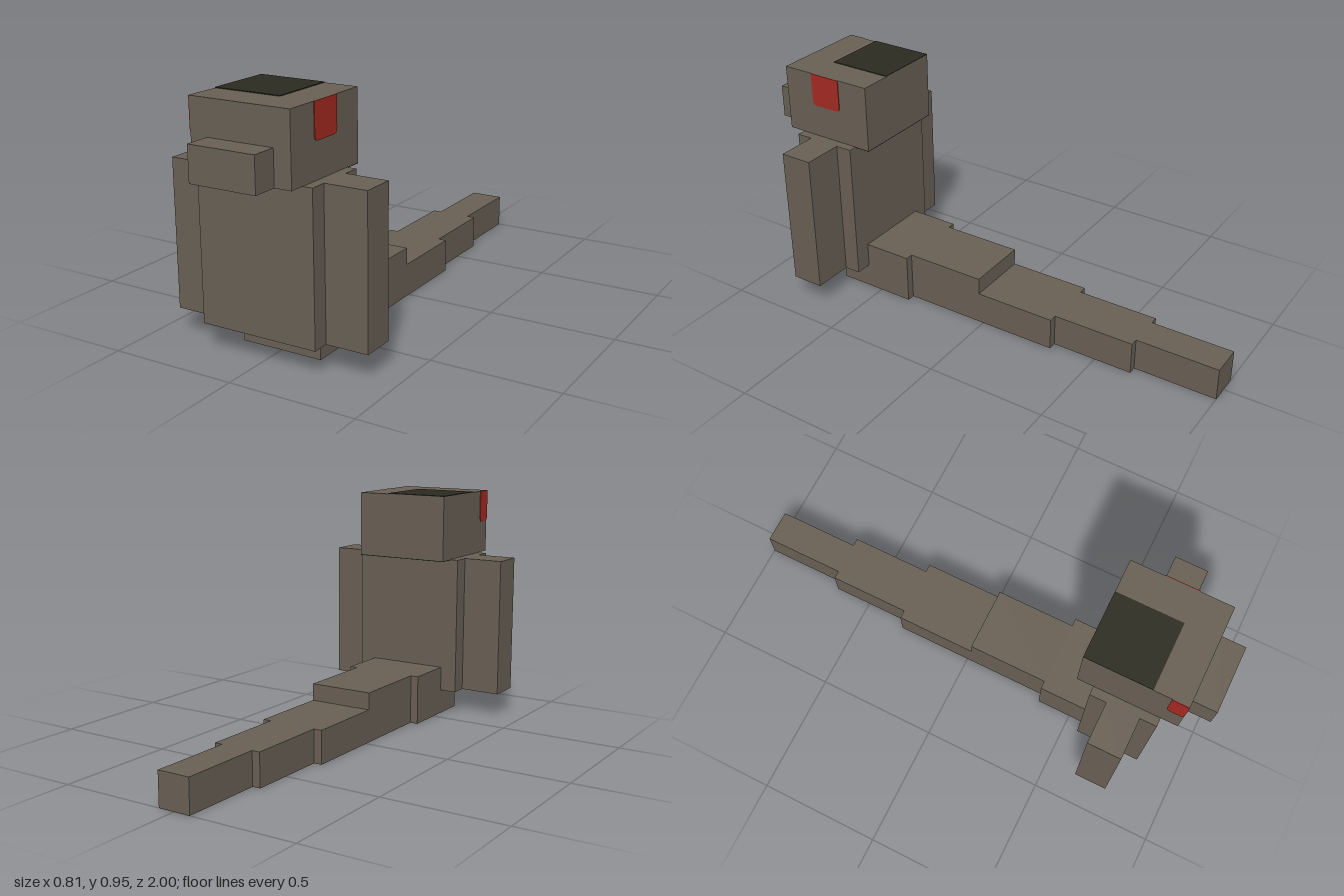
import * as THREE from 'three';

export function createModel() {
  const model = new THREE.Group();
  const stone = new THREE.MeshStandardMaterial({ name: 'stone brown', color: 0x696054 });
  const dark = new THREE.MeshStandardMaterial({ name: 'dark olive', color: 0x2c2b20 });
  const red = new THREE.MeshStandardMaterial({ name: 'red', color: 0xa52a22 });

  // Box given by its lower and upper corners
  function box(name, [x0, y0, z0], [x1, y1, z1], material = stone) {
    const mesh = new THREE.Mesh(new THREE.BoxGeometry(x1 - x0, y1 - y0, z1 - z0), material);
    mesh.position.set((x0 + x1) / 2, (y0 + y1) / 2, (z0 + z1) / 2);
    mesh.name = name;
    model.add(mesh);
    return mesh;
  }

  // Thin eye plate with rounded lower corners, hanging from the head's top edge
  function eye(name, side, zMid, width) {
    const w = width / 2, h = 0.135, r = 0.02;
    const shape = new THREE.Shape();
    shape.moveTo(-w, 0);
    shape.lineTo(-w, -h + r);
    shape.quadraticCurveTo(-w, -h, -w + r, -h);
    shape.lineTo(w - r, -h);
    shape.quadraticCurveTo(w, -h, w, -h + r);
    shape.lineTo(w, 0);
    const geometry = new THREE.ExtrudeGeometry(shape, { depth: 0.003, bevelEnabled: false, curveSegments: 4 });
    const mesh = new THREE.Mesh(geometry, red);
    mesh.rotation.y = side * Math.PI / 2;
    mesh.position.set(side * 0.203, 0.95, zMid);
    mesh.name = name;
    model.add(mesh);
  }

  // Head and snout
  box('head', [-0.203, 0.68, 0.495], [0.203, 0.95, 0.899]);
  box('snout', [-0.135, 0.68, 0.899], [0.135, 0.815, 1]);
  box('crownPatch', [-0.203, 0.95, 0.495], [0.068, 0.953, 0.762], dark);
  box('headUndersidePatch', [-0.203, 0.677, 0.495], [0.203, 0.68, 0.56], dark);
  eye('leftEye', 1, 0.698, 0.135);
  eye('rightEye', -1, 0.866, 0.066);

  // Body with a slab arm on each side
  box('body', [-0.238, 0.103, 0.562], [0.238, 0.679, 0.832]);
  box('leftArm', [0.238, 0.103, 0.63], [0.406, 0.679, 0.765]);
  box('rightArm', [-0.406, 0.103, 0.63], [-0.238, 0.679, 0.765]);

  // Tail segments from the base to the tip: half width, height, back z, front z
  [
    [0.168, 0.205, 0.357, 0.695],
    [0.135, 0.205, 0.02, 0.357],
    [0.135, 0.135, -0.318, 0.02],
    [0.101, 0.135, -0.657, -0.318],
    [0.068, 0.135, -1, -0.657],
  ].forEach(([w, h, z0, z1], i) => box(`tailSegment${i + 1}`, [-w, 0, z0], [w, h, z1]));

  return model;
}
